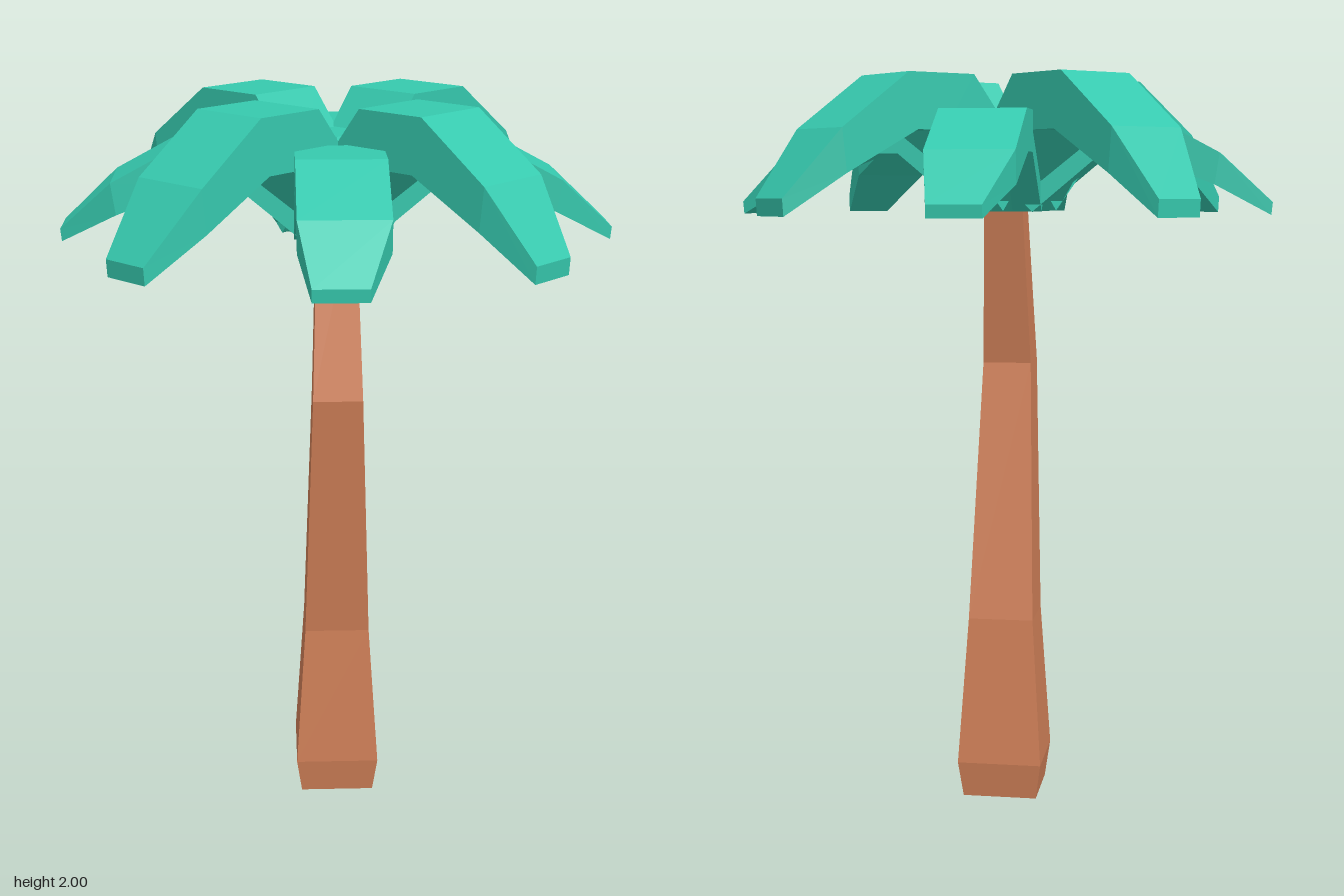
import * as THREE from 'three';

// Closed faceted loft through rings of four corners
function loft(rings) {
  const pos = [];
  const quad = (a, b, c, d) => [a, b, c, a, c, d].forEach((p) => pos.push(...p));
  for (let i = 0; i < rings.length - 1; i++) {
    for (let j = 0; j < 4; j++) {
      const k = (j + 1) % 4;
      quad(rings[i][j], rings[i][k], rings[i + 1][k], rings[i + 1][j]);
    }
  }
  quad(...[...rings[0]].reverse());
  quad(...rings[rings.length - 1]);
  const geo = new THREE.BufferGeometry();
  geo.setAttribute('position', new THREE.Float32BufferAttribute(pos, 3));
  geo.computeVertexNormals();
  return geo;
}

export function createModel() {
  const group = new THREE.Group();
  const bark = new THREE.MeshStandardMaterial({ color: 0xd08058, flatShading: true });
  const green = new THREE.MeshStandardMaterial({ color: 0x36c9ae, flatShading: true });

  const add = (geo, mat, name) => {
    const mesh = new THREE.Mesh(geo, mat);
    mesh.name = name;
    group.add(mesh);
    return mesh;
  };

  // Bent square trunk: height, half width, z offset
  const trunk = [
    [0, 0.103, 0], [0.1, 0.117, 0], [0.51, 0.09, 0.006],
    [1.22, 0.067, 0.107], [1.75, 0.05, 0.004],
  ].map(([y, h, z]) => [[-h, y, z + h], [h, y, z + h], [h, y, z - h], [-h, y, z - h]]);
  add(loft(trunk), bark, 'trunk');

  // Frond along +x: top radius, top y, underside radius, underside y, half width, sideways drift
  const tipY = 1.635;
  const profile = [
    [0, 1.77, 0.09, 1.645, 0.113, 0],
    [0.184, 2, 0.276, 1.855, 0.113, 0],
    [0.387, 2, 0.36, 1.855, 0.113, 0],
    [0.587, 1.856, 0.575, 1.743, 0.113, 0],
    [0.728, 1.68, 0.725, tipY, 0.068, 0.014],
  ];
  const frond = (squash) => loft(profile.map(([rt, yt, rb, yb, h, s]) => {
    const top = tipY + (yt - tipY) * squash;
    const low = tipY + (yb - tipY) * squash;
    return [[rb, low, s + h], [rb, low, s - h], [rt, top, s - h], [rt, top, s + h]];
  }));

  // Eight fronds: low ones on the axes, tall ones on the diagonals
  const lowFrond = frond(0.74);
  const tallFrond = frond(1);
  for (let i = 0; i < 8; i++) {
    const tall = i % 2 === 1;
    const mesh = add(tall ? tallFrond : lowFrond, green, tall ? 'tallFrond' : 'lowFrond');
    mesh.rotation.y = (i * Math.PI) / 4;
  }

  // Small tapered bud in the middle of the crown
  const bud = add(new THREE.CylinderGeometry(0.085, 0.17, 0.08, 4), green, 'crownBud');
  bud.position.y = 1.87;
  return group;
}
